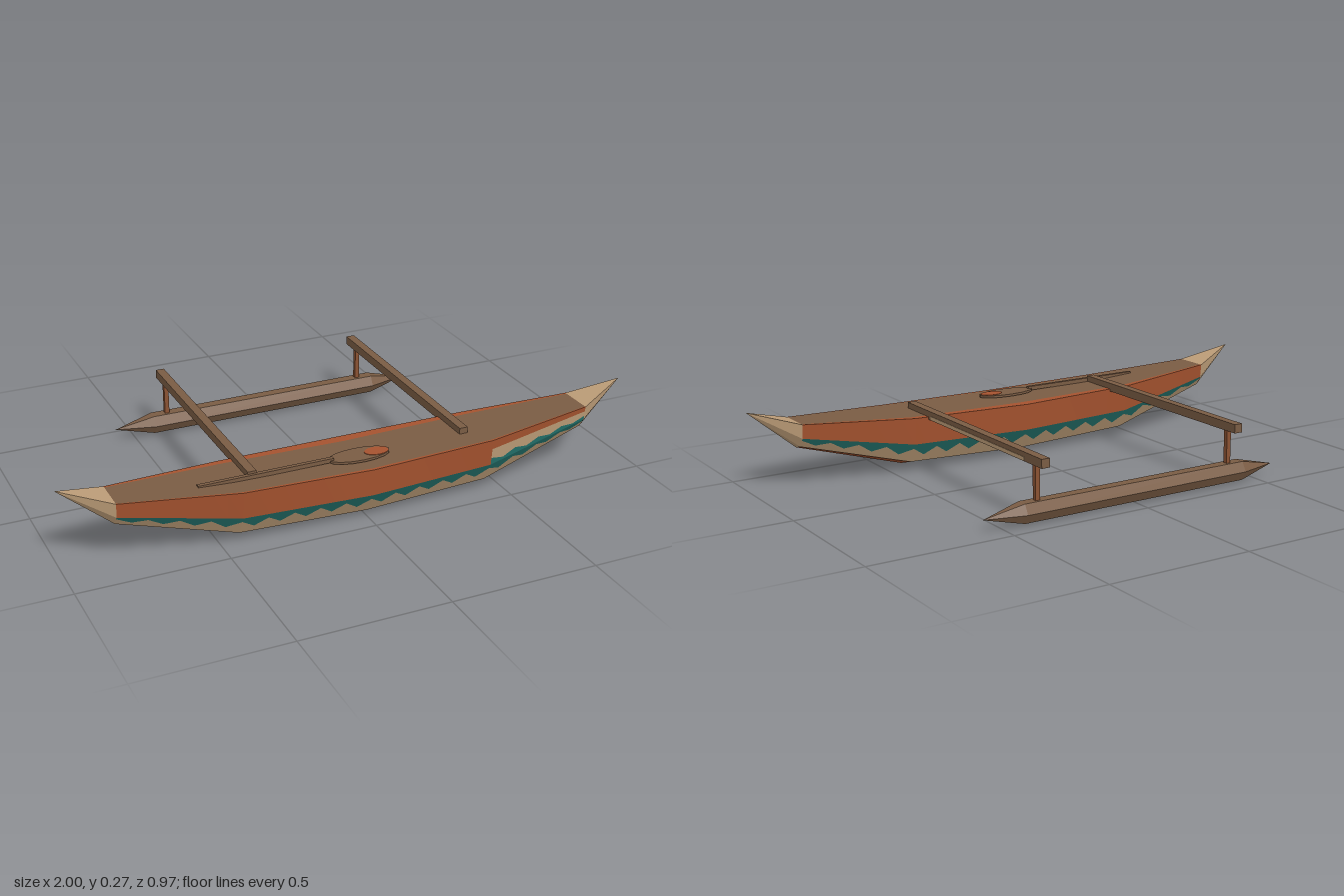
import * as THREE from 'three';

const mat = (name, color) => {
  const m = new THREE.MeshStandardMaterial({ color });
  m.name = name;
  return m;
};

export function createModel() {
  const group = new THREE.Group();
  const orange = mat('rust paint', 0xa5532f);
  const brown = mat('brown wood', 0x7a5c44);
  const tan = mat('pale wood', 0xbd9d78);
  const teal = mat('teal paint', 0x23706a);
  const reddish = mat('reddish wood', 0x8a5232);

  const add = (name, geo, material, x = 0, y = 0, z = 0) => {
    const mesh = new THREE.Mesh(geo, material);
    mesh.name = name;
    mesh.position.set(x, y, z);
    group.add(mesh);
    return mesh;
  };

  // Flat-shaded faces from lists of 3 or 4 corners
  const faces = (name, list, material) => {
    const pos = [];
    for (const f of list) {
      for (let i = 1; i < f.length - 1; i++) pos.push(...f[0], ...f[i], ...f[i + 1]);
    }
    const geo = new THREE.BufferGeometry();
    geo.setAttribute('position', new THREE.Float32BufferAttribute(pos, 3));
    geo.computeVertexNormals();
    return add(name, geo, material);
  };
  const turn = (f, flip) => (flip ? f.slice().reverse() : f);

  // Hull half-sections: [half width, y] at gunwale, chine, lower chine, keel
  const Z = 0.35, END = 0.83, MID = 0.44;
  const stations = [
    { x: 0, p: [[0.132, 0.195], [0.125, 0.1], [0.08, 0.025], [0, 0.003]] },
    { x: MID, p: [[0.118, 0.202], [0.108, 0.108], [0.07, 0.038], [0, 0.017]] },
    { x: END, p: [[0.063, 0.224], [0.057, 0.175], [0.036, 0.143], [0, 0.133]] },
  ];
  const { lerp } = THREE.MathUtils;
  // Point on the hull: v runs from 0 (gunwale) to 3 (keel)
  const hull = (x, v, side) => {
    const ax = Math.min(Math.abs(x), END);
    const k = ax > MID ? 1 : 0;
    const a = stations[k], b = stations[k + 1];
    const t = (ax - a.x) / (b.x - a.x);
    const i = Math.min(Math.floor(v), 2), u = v - i;
    const at = (s, c) => lerp(s.p[i][c], s.p[i + 1][c], u);
    return [x, lerp(at(a, 1), at(b, 1), t), Z + side * lerp(at(a, 0), at(b, 0), t)];
  };

  const xs = [];
  [[-END, -MID, 8], [-MID, 0, 10], [0, MID, 10], [MID, END, 8]].forEach(([a, b, n]) => {
    for (let i = 0; i < n; i++) xs.push(lerp(a, b, i / n));
  });
  xs.push(END);

  // Lengthwise painted strip; top and bottom are functions of the step index
  const strip = (name, side, material, top, bottom, from = 0, to = xs.length - 1) => {
    const list = [];
    for (let i = from; i < to; i++) {
      list.push(turn([
        hull(xs[i], top(i), side), hull(xs[i], bottom(i), side),
        hull(xs[i + 1], bottom(i + 1), side), hull(xs[i + 1], top(i + 1), side),
      ], side < 0));
    }
    faces(name, list, material);
  };
  const at = v => () => v;
  const zigzag = i => (i % 2 ? 1.65 : 1.25);
  const wave = i => (i % 2 ? 0.9 : 0.72);
  const last = xs.length - 1, panel = last - 8;

  for (const side of [1, -1]) {
    const front = side > 0;
    strip('upperStrake', side, orange, at(0), at(1), 0, front ? panel : last);
    if (front) {
      // Decorated panel near one end
      strip('panelRim', side, orange, at(0), at(0.36), panel);
      strip('panelBand', side, tan, at(0.36), wave, panel);
      strip('panelWave', side, teal, wave, at(1), panel);
    }
    strip('zigzagBand', side, teal, at(1), zigzag);
    strip('paleBand', side, tan, zigzag, at(2));
    strip('hullBottom', side, orange, at(2), at(3));
  }

  // Deck with painted rims, wider along the back
  const cuts = [-END, -MID, 0, MID, END];
  const edges = x => {
    const b = hull(x, 0, -1), f = hull(x, 0, 1);
    const k = 1 - Math.abs(x) / END;
    return [b[2], b[2] + 0.008 + 0.03 * k, f[2] - 0.004 - 0.008 * k, f[2]].map(z => [x, b[1], z]);
  };
  const deckStrip = i => cuts.slice(1).map((x1, c) => {
    const a = edges(cuts[c]), b = edges(x1);
    return [a[i], a[i + 1], b[i + 1], b[i]];
  });
  faces('deckRims', [...deckStrip(0), ...deckStrip(2)], orange);
  faces('deck', deckStrip(1), brown);

  // Pointed raised ends
  for (const e of [1, -1]) {
    const tip = [e, 0.275, Z], x = e * END;
    const list = [turn([hull(x, 0, -1), hull(x, 0, 1), tip], e < 0)];
    for (const side of [1, -1]) {
      for (let i = 0; i < 3; i++) {
        list.push(turn([hull(x, i, side), hull(x, i + 1, side), tip], e * side < 0));
      }
    }
    faces(e > 0 ? 'leftPoint' : 'rightPoint', list, tan);
  }

  // Outrigger float: hexagonal spar with pointed ends
  const ring = (x, r) => Array.from({ length: 6 }, (_, k) => {
    const a = k * Math.PI / 3;
    return [x, 0.045 + r * Math.sin(a), -0.43 + r * Math.cos(a)];
  });
  const rings = [ring(-0.57, 0), ring(-0.43, 0.037), ring(0.43, 0.037), ring(0.57, 0)];
  const sides = [];
  for (let j = 0; j < 3; j++) {
    for (let k = 0; k < 6; k++) {
      const n = (k + 1) % 6, a = rings[j], b = rings[j + 1];
      const quad = [a[k], b[k], b[n], a[n]];
      if (j === 0) quad.splice(3, 1);
      if (j === 2) quad.splice(2, 1);
      sides.push(quad);
    }
  }
  faces('outriggerFloat', sides, brown);

  // Cross booms and float posts
  for (const s of [1, -1]) {
    add('crossBoom', new THREE.BoxGeometry(0.03, 0.03, 0.865), brown, s * 0.377, 0.207, -0.0525);
    add('floatPost', new THREE.BoxGeometry(0.016, 0.125, 0.016), reddish, s * 0.377, 0.133, -0.43);
  }
  add('boomStripe', new THREE.BoxGeometry(0.002, 0.012, 0.6), tan, 0.3925, 0.2, -0.085);

  // Paddle lying on the deck
  add('paddleShaft', new THREE.BoxGeometry(0.46, 0.014, 0.014), brown, -0.33, 0.207, 0.383);
  const blade = add('paddleBlade', new THREE.CylinderGeometry(1, 1, 0.008, 16), brown, -0.008, 0.203, 0.383);
  blade.scale.set(0.108, 1, 0.044);
  const patch = add('bladePatch', new THREE.CylinderGeometry(1, 1, 0.002, 16), orange, 0.052, 0.2075, 0.386);
  patch.scale.set(0.042, 1, 0.027);

  return group;
}
